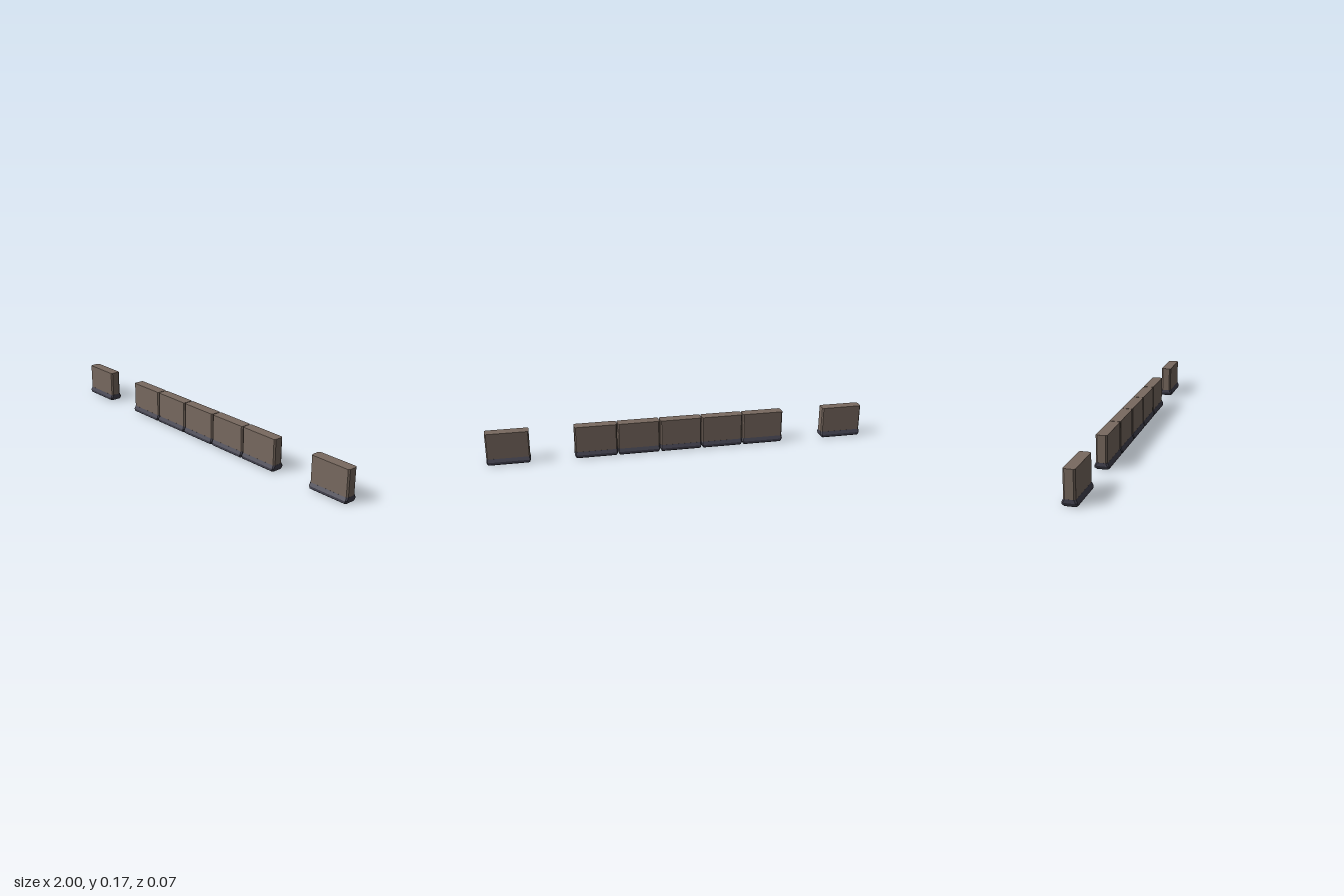
import * as THREE from 'three';

const stone = new THREE.MeshStandardMaterial({ color: 0x78695f });
stone.name = 'brownStone';
const slate = new THREE.MeshStandardMaterial({ color: 0x42414e });
slate.name = 'darkSlate';

// Flat-faced solid from stacked rectangles with cut corners; ring = [y, halfX, halfZ, cutX, cutZ]
function stack(rings) {
  const pos = [];
  const loops = rings.map(([y, x, z, cx, cz]) => [
    [x, y, z - cz], [x, y, cz - z], [x - cx, y, -z], [cx - x, y, -z],
    [-x, y, cz - z], [-x, y, z - cz], [cx - x, y, z], [x - cx, y, z],
  ]);
  const tri = (a, b, c) => pos.push(...a, ...b, ...c);
  for (let r = 0; r < loops.length - 1; r++) {
    const lo = loops[r], hi = loops[r + 1];
    for (let i = 0; i < 8; i++) {
      const j = (i + 1) % 8;
      tri(lo[i], lo[j], hi[j]);
      tri(lo[i], hi[j], hi[i]);
    }
  }
  const bottom = loops[0], top = loops[loops.length - 1];
  for (let i = 1; i < 7; i++) {
    tri(top[0], top[i], top[i + 1]);
    tri(bottom[0], bottom[i + 1], bottom[i]);
  }
  const g = new THREE.BufferGeometry();
  g.setAttribute('position', new THREE.Float32BufferAttribute(pos, 3));
  g.computeVertexNormals();
  return g;
}

export function createModel() {
  const model = new THREE.Group();
  model.name = 'wallSections';

  // Upright slab with chamfered vertical corners
  const slabGeometry = stack([
    [0.032, 0.109, 0.028, 0.006, 0.008],
    [0.168, 0.109, 0.028, 0.006, 0.008],
  ]);
  // Flared footing, tapering in towards the ground
  const footingGeometry = stack([
    [0, 0.103, 0.029, 0.005, 0.004],
    [0.005, 0.106, 0.036, 0.006, 0.008],
    [0.017, 0.111, 0.036, 0.006, 0.008],
    [0.033, 0.1095, 0.0283, 0.006, 0.008],
  ]);

  // Nine equal slots with a gap either side of the middle run
  for (const slot of [-4, -2, -1, 0, 1, 2, 4]) {
    const section = new THREE.Group();
    section.name = 'wallSection';
    const slab = new THREE.Mesh(slabGeometry, stone);
    slab.name = 'slab';
    const footing = new THREE.Mesh(footingGeometry, slate);
    footing.name = 'footing';
    section.add(slab, footing);
    section.position.x = slot * 2 / 9;
    model.add(section);
  }
  return model;
}
